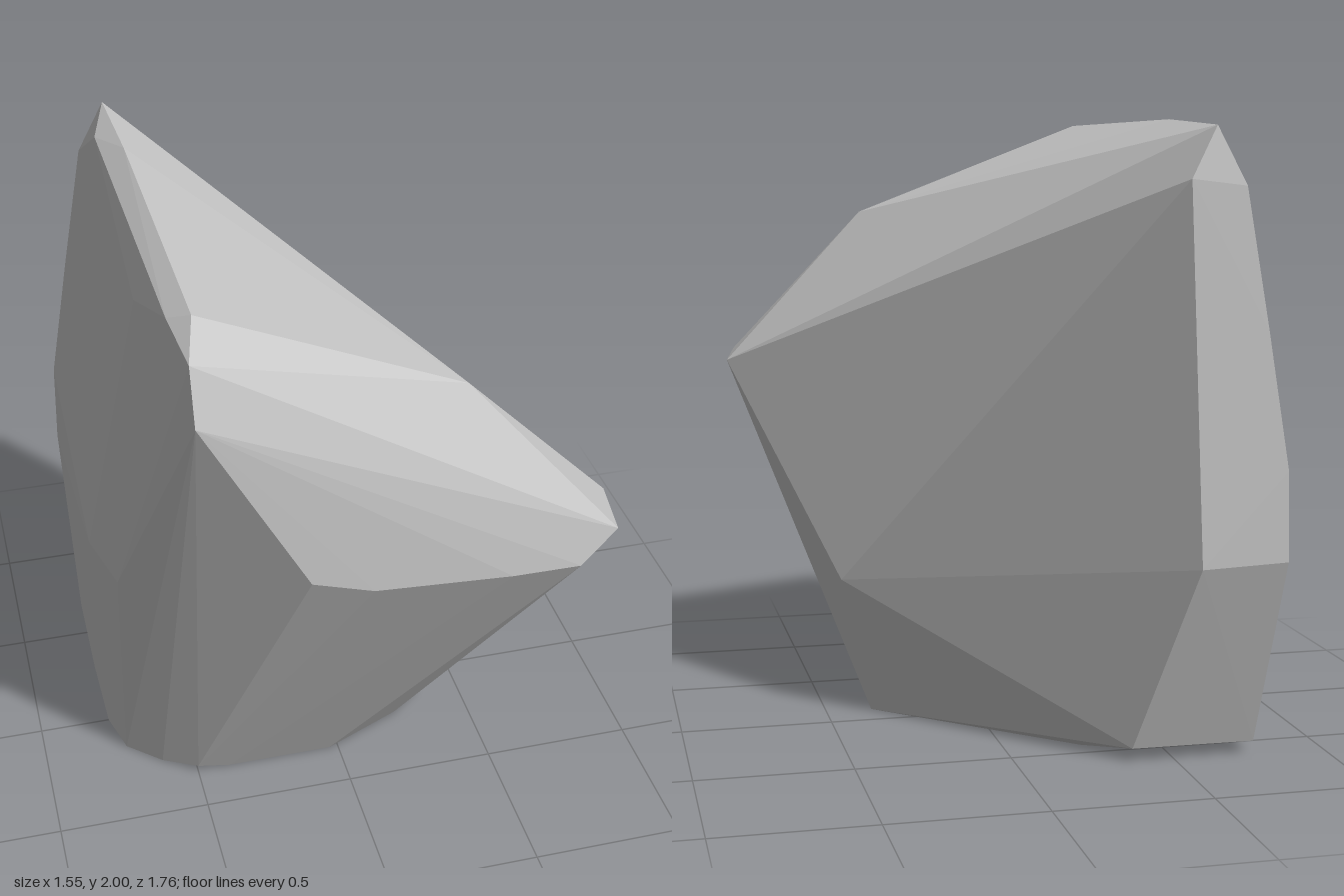
import * as THREE from 'three';
import { ConvexGeometry } from 'three/addons/geometries/ConvexGeometry.js';

// Corner points of the faceted boulder, grouped by region
const baseRim = [
  [0.345, 0, 0.12], [0.24, 0, 0.21], [-0.03, 0, 0.33], [-0.39, 0, 0.33],
  [-0.5, 0.03, 0.34], [-0.61, 0, 0.25], [-0.72, 0, 0.15], [-0.76, 0, 0],
  [-0.765, 0, -0.3], [-0.765, 0.04, -0.62], [-0.36, 0.045, -0.63], [-0.25, 0, -0.42],
];
const frontBrow = [
  [-0.55, 1.77, 0.865], [-0.23, 1.19, 0.878], [-0.04, 1.13, 0.88],
  [0.39, 1.1, 0.877], [0.61, 1.09, 0.867], [0.73, 1.19, 0.84],
];
const rightSide = [[0.775, 1.17, 0.61], [0.45, 0.47, 0.08]];
const crown = [
  [-0.51, 2, 0.65], [-0.55, 1.94, 0.81], [0.28, 1.69, 0.7], [-0.515, 2, -0.44],
  [-0.52, 1.975, -0.865], [-0.58, 1.95, -0.65], [-0.57, 1.96, 0.58], [-0.61, 1.84, 0.25],
];
const backEdge = [
  [-0.44, 1.82, -0.88], [-0.61, 1.8, -0.88], [-0.69, 1.37, -0.875],
  [-0.765, 0.95, -0.865], [-0.775, 0.67, -0.855], [-0.5, 0.66, -0.86],
];
const leftSide = [[-0.775, 0.8, 0], [-0.725, 0.85, 0.3]];

export function createModel() {
  const group = new THREE.Group();
  group.name = 'rock';

  const stone = new THREE.MeshStandardMaterial({ color: 0xc6c6c6 });
  stone.name = 'stone grey';
  stone.flatShading = true;

  // One convex stone wrapped around all corner points
  const corners = [baseRim, frontBrow, rightSide, crown, backEdge, leftSide]
    .flat()
    .map((p) => new THREE.Vector3(...p));
  const boulder = new THREE.Mesh(new ConvexGeometry(corners), stone);
  boulder.name = 'boulder';
  group.add(boulder);

  return group;
}
